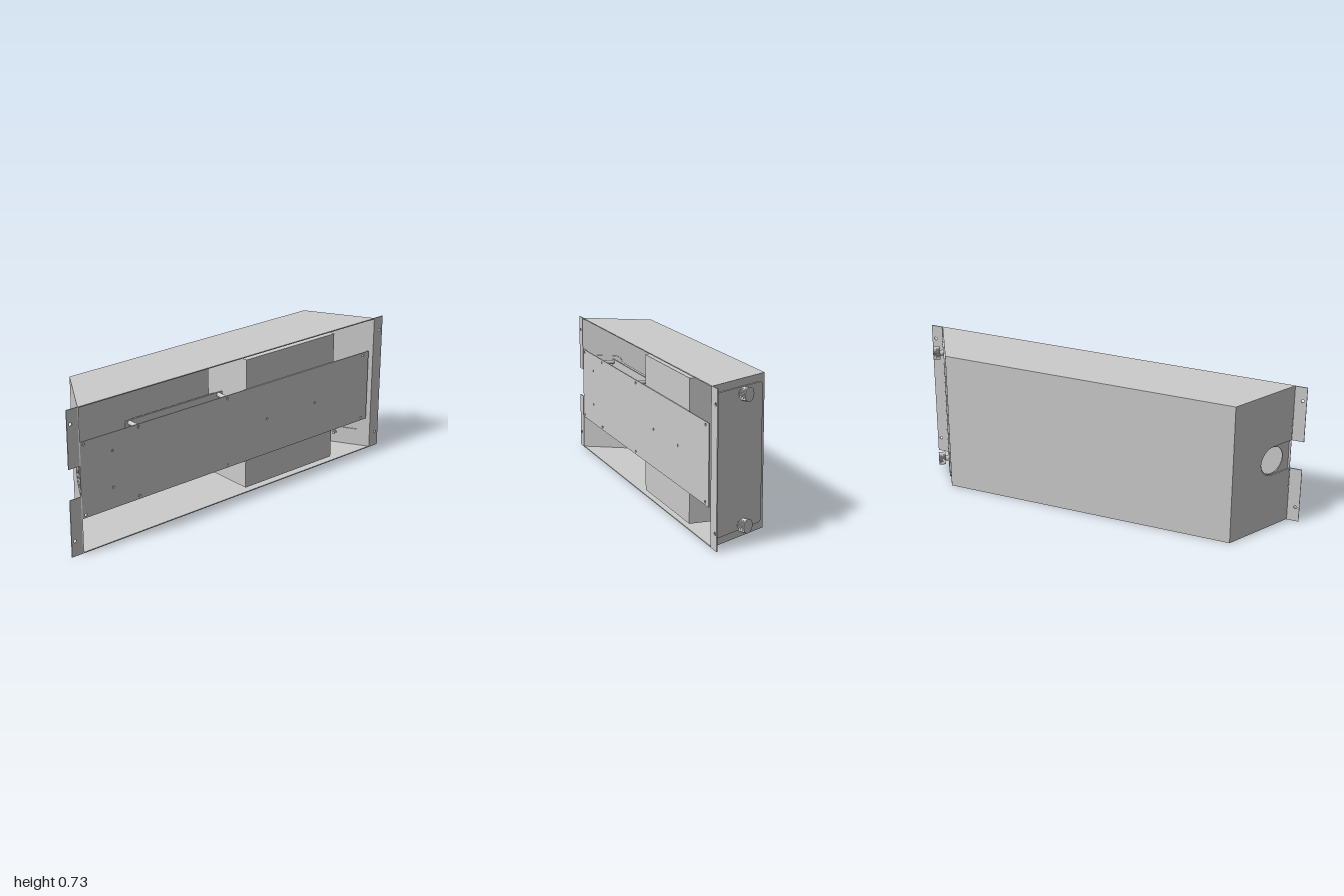
import * as THREE from 'three';

const W = 0.94, B = 0.75, H = 0.727, Z = 0.165, T = 0.005;
const MID = H / 2;
const SLOPE = Math.atan2(2 * Z, W - B);   // angle of the end walls
const LEN = Math.hypot(2 * Z, W - B);
const material = new THREE.MeshStandardMaterial({ color: 0xcccccc, flatShading: true, side: THREE.DoubleSide });

function add(parent, name, geometry, x = 0, y = 0, z = 0) {
  const mesh = new THREE.Mesh(geometry, material);
  mesh.name = name;
  mesh.position.set(x, y, z);
  parent.add(mesh);
  return mesh;
}

function box(parent, name, x0, x1, y0, y1, z0, z1) {
  return add(parent, name, new THREE.BoxGeometry(x1 - x0, y1 - y0, z1 - z0),
    (x0 + x1) / 2, (y0 + y1) / 2, (z0 + z1) / 2);
}

function polygon(points) {
  return new THREE.Shape(points.map(([x, y]) => new THREE.Vector2(x, y)));
}

// Rectangle with separate corner radii on its left and right side
function rect(x0, x1, y0, y1, rl = 0, rr = rl) {
  const s = new THREE.Shape();
  s.moveTo(x0 + rl, y0);
  s.lineTo(x1 - rr, y0);
  if (rr) s.absarc(x1 - rr, y0 + rr, rr, -Math.PI / 2, 0);
  s.lineTo(x1, y1 - rr);
  if (rr) s.absarc(x1 - rr, y1 - rr, rr, 0, Math.PI / 2);
  s.lineTo(x0 + rl, y1);
  if (rl) s.absarc(x0 + rl, y1 - rl, rl, Math.PI / 2, Math.PI);
  s.lineTo(x0, y0 + rl);
  if (rl) s.absarc(x0 + rl, y0 + rl, rl, Math.PI, Math.PI * 1.5);
  return s;
}

function drill(shape, x, y, r) {
  shape.holes.push(new THREE.Path().absarc(x, y, r, 0, Math.PI * 2, true));
}

function sheet(shape, depth = T) {
  return new THREE.ExtrudeGeometry(shape, { depth, bevelEnabled: false, curveSegments: 10 });
}

// Thumbscrew along local z: knurled head outside (-z), threaded tip inside (+z)
function thumbscrew(parent, u, y) {
  const screw = new THREE.Group();
  screw.name = 'thumbscrew';
  screw.position.set(u, y, 0);
  const rod = (name, r, z0, z1) => add(screw, name,
    new THREE.CylinderGeometry(r, r, z1 - z0, 20).rotateX(Math.PI / 2), 0, 0, (z0 + z1) / 2);
  const n = 32, knurl = [];
  for (let i = 0; i < n * 2; i++) {
    const a = i * Math.PI / n, r = i % 2 ? 0.0305 : 0.033;
    knurl.push([Math.cos(a) * r, Math.sin(a) * r]);
  }
  add(screw, 'knurledHead', sheet(polygon(knurl), 0.034), 0, 0, -0.056);
  rod('headCap', 0.033, -0.057, -0.055);
  rod('collar', 0.015, -0.023, 0);
  rod('threadedTip', 0.008, 0, 0.022);
  rod('retainingRing', 0.013, T, 0.01);
  parent.add(screw);
}

export function createModel() {
  const model = new THREE.Group();

  // Tapered housing, open at the front
  const housing = new THREE.Group();
  housing.name = 'housing';
  model.add(housing);
  const trapezoid = polygon([[-W, -Z], [W, -Z], [B, Z], [-B, Z]]);
  for (const [name, y] of [['bottomPanel', 0], ['topPanel', H - T]])
    add(housing, name, sheet(trapezoid).rotateX(-Math.PI / 2), 0, y, 0);
  box(housing, 'backPanel', -B, B, 0, H, -Z, -Z + T);

  // Sloped wall with access opening, cover and thumbscrews
  const leftEnd = new THREE.Group();
  leftEnd.name = 'accessEnd';
  leftEnd.position.set(B, 0, -Z);
  leftEnd.rotation.y = -SLOPE;
  const accessWall = rect(0, LEN, 0, H);
  accessWall.holes.push(rect(0.08, 0.31, 0.095, 0.635));
  add(leftEnd, 'accessWall', sheet(accessWall));
  add(leftEnd, 'accessCover', sheet(rect(0.023, 0.352, 0.036, 0.692, 0.018), 0.007), 0, 0, -0.007);
  for (const y of [0.063, 0.665]) thumbscrew(leftEnd, 0.187, y);
  housing.add(leftEnd);

  // Sloped wall with cable slot, backed by a bracket with a round hole
  const rightEnd = new THREE.Group();
  rightEnd.name = 'cableEnd';
  rightEnd.position.set(-W, 0, Z);
  rightEnd.rotation.y = SLOPE;
  const slotWall = new THREE.Shape();
  slotWall.moveTo(0, 0);
  slotWall.lineTo(LEN, 0);
  slotWall.lineTo(LEN, H);
  slotWall.lineTo(0, H);
  slotWall.lineTo(0, MID + 0.076);
  slotWall.absarc(0.122, MID, 0.076, Math.PI / 2, -Math.PI / 2, true);
  slotWall.lineTo(0, MID - 0.076);
  add(rightEnd, 'slottedWall', sheet(slotWall));
  const bracket = rect(0.012, 0.222, MID - 0.16, MID + 0.16, 0, 0.04);
  drill(bracket, 0.122, MID, 0.071);
  add(rightEnd, 'cableBracket', sheet(bracket), 0, 0, T + 0.001);
  housing.add(rightEnd);
  box(model, 'bracketFoot', -0.915, -0.72, MID - 0.16, MID + 0.16, 0.152, 0.158);

  // Mounting ears
  for (const [x0, x1, y0, y1, hx, hy] of [
    [W, 1, 0, H, 0.98, [0.077, 0.655]],
    [-1, -W, 0, 0.288, -0.98, [0.077]],
    [-1, -W, 0.44, H, -0.98, [0.655]],
  ]) {
    const ear = rect(x0, x1, y0, y1);
    hy.forEach(y => drill(ear, hx, y, 0.008));
    add(housing, 'mountingEar', sheet(ear), 0, 0, Z - T);
  }

  // Front plate with screw holes
  const plate = rect(-0.938, 0.905, 0.175, 0.555);
  for (const x of [-0.915, -0.605, -0.065, 0.865])
    for (const y of [0.19, 0.54]) drill(plate, x, y, 0.007);
  for (const [x, y] of [[-0.755, 0.28], [-0.755, 0.465], [0.195, MID], [0.525, MID]])
    drill(plate, x, y, 0.006);
  add(model, 'frontPlate', sheet(plate), 0, 0, Z - T);

  // Equipment carried behind the plate
  box(model, 'powerUnit', 0.062, 0.655, 0.025, 0.705, -0.13, 0.158);
  box(model, 'circuitBoard', -0.63, -0.04, 0.177, 0.553, 0.09, 0.098);
  box(model, 'boardModule', -0.56, -0.055, 0.2, 0.535, 0.05, 0.09);
  for (const x of [-0.605, -0.065])
    for (const y of [0.19, 0.54])
      add(model, 'standoff', new THREE.CylinderGeometry(0.011, 0.011, 0.062, 12).rotateX(Math.PI / 2), x, y, 0.129);

  return model;
}
